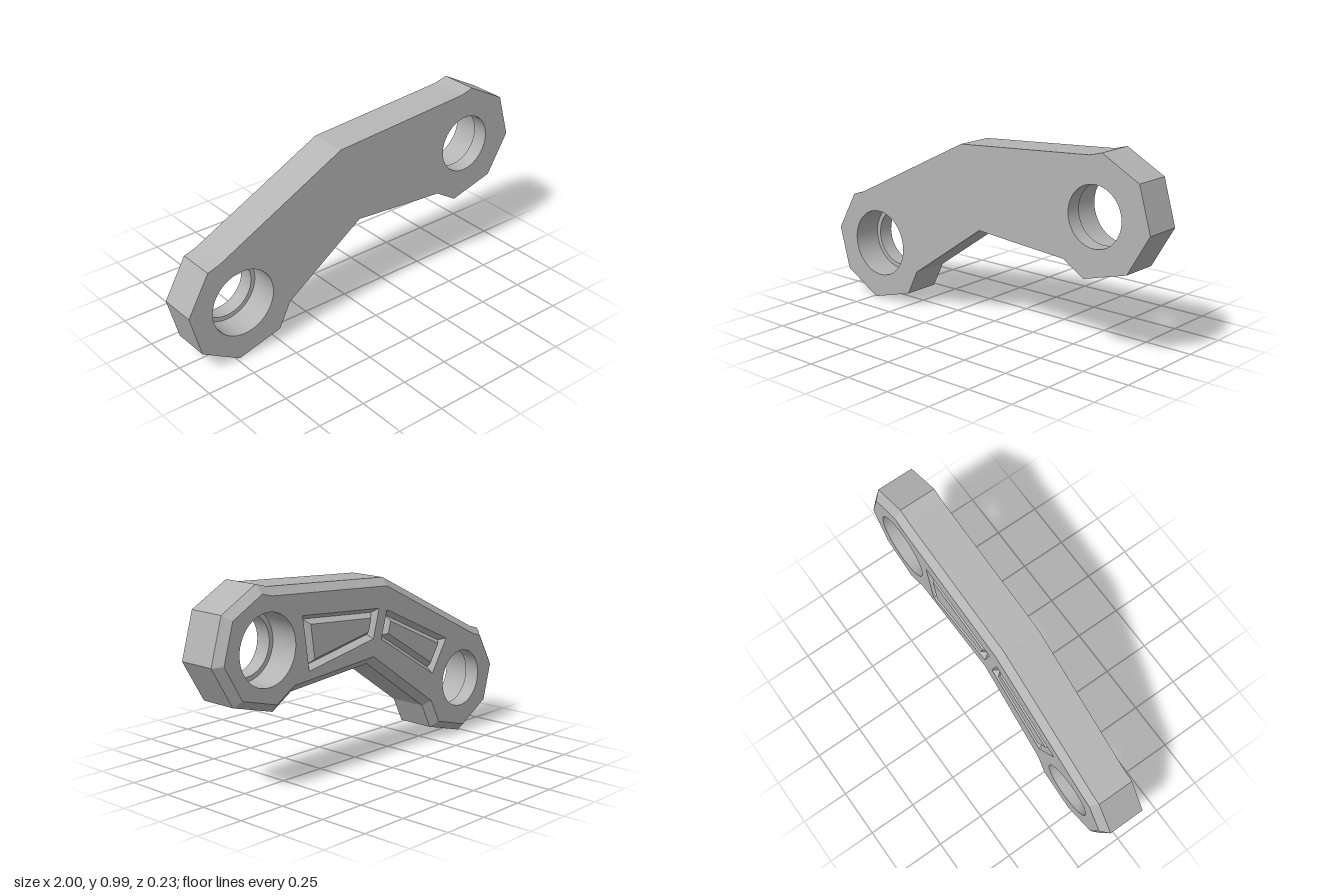
import * as THREE from 'three';
import { toCreasedNormals } from 'three/addons/utils/BufferGeometryUtils.js';

const FRONT = 0.116, BACK = -0.116, CHAMFER = 0.038;

// Counter-clockwise outline of the bent arm with its two faceted ends
const OUTLINE = [
  [-0.94, 0.12], [-0.735, 0.003], [-0.495, 0.07], [-0.43, 0.2], [0, 0.5], [0.52, 0.46],
  [0.64, 0.387], [0.88, 0.453], [1, 0.655], [0.935, 0.88], [0.73, 0.99], [0.66, 0.971],
  [-0.115, 0.915], [-0.82, 0.562], [-0.885, 0.542], [-1, 0.34],
];
const POCKETS = [
  [[0.476, 0.816], [-0.048, 0.774], [-0.008, 0.629], [0.436, 0.547]],
  [[-0.106, 0.759], [-0.573, 0.541], [-0.464, 0.372], [-0.066, 0.618]],
];
const BORE = 0.15, COUNTERBORE = 0.173;
const LOW = [-0.7, 0.305], HIGH = [0.695, 0.69];

const circle = ([x, y], r, n = 48) => Array.from({ length: n }, (_, i) => {
  const a = (i / n) * Math.PI * 2;
  return [x + r * Math.cos(a), y + r * Math.sin(a)];
});

// Mitred inward offset of a counter-clockwise loop
function inset(loop, d) {
  const n = loop.length;
  const normal = (a, b) => {
    const l = Math.hypot(b[0] - a[0], b[1] - a[1]);
    return [-(b[1] - a[1]) / l, (b[0] - a[0]) / l];
  };
  return loop.map((p, i) => {
    const u = normal(loop[(i + n - 1) % n], p), v = normal(p, loop[(i + 1) % n]);
    const k = d / (1 + u[0] * v[0] + u[1] * v[1]);
    return [p[0] + k * (u[0] + v[0]), p[1] + k * (u[1] + v[1])];
  });
}

// Strip between two matching loops; faces outward when zA < zB, inward when zA > zB
function wall(A, zA, B, zB) {
  const pos = [];
  A.forEach((a, i) => {
    const j = (i + 1) % A.length;
    const a0 = [...a, zA], a1 = [...A[j], zA], b0 = [...B[i], zB], b1 = [...B[j], zB];
    pos.push(...a0, ...a1, ...b1, ...a0, ...b1, ...b0);
  });
  const g = new THREE.BufferGeometry();
  g.setAttribute('position', new THREE.Float32BufferAttribute(pos, 3));
  return toCreasedNormals(g, 0.15);
}

// Flat face with holes, looking along +z or -z
function cap(loop, holes, z, facing) {
  const v = (l) => l.map(([x, y]) => new THREE.Vector2(x * facing, y));
  const shape = new THREE.Shape(v(loop));
  shape.holes = holes.map((h) => new THREE.Path(v(h)));
  const g = new THREE.ShapeGeometry(shape);
  if (facing < 0) g.rotateY(Math.PI);
  return g.translate(0, 0, z);
}

export function createModel() {
  const model = new THREE.Group();
  model.name = 'linkArm';
  const metal = new THREE.MeshStandardMaterial({ color: 0xb4b4b4 });
  metal.name = 'greyMetal';
  const part = (name, ...geometries) => {
    const group = new THREE.Group();
    group.name = name;
    geometries.forEach((g) => {
      const mesh = new THREE.Mesh(g, metal);
      mesh.name = name + 'Surface';
      group.add(mesh);
    });
    model.add(group);
  };

  const lowSmall = circle(LOW, BORE), lowBig = circle(LOW, COUNTERBORE);
  const highSmall = circle(HIGH, BORE), highBig = circle(HIGH, COUNTERBORE);
  const backLoop = inset(OUTLINE, CHAMFER);

  // Main plate with a chamfer around the back
  part('frontFace', cap(OUTLINE, [lowBig, highSmall], FRONT, 1));
  part('sideWall', wall(OUTLINE, BACK + CHAMFER, OUTLINE, FRONT));
  part('backChamfer', wall(backLoop, BACK, OUTLINE, BACK + CHAMFER));
  part('backFace', cap(backLoop, [lowSmall, highBig, ...POCKETS], BACK, -1));

  // Stepped bores: the lower one widens to the front, the upper one to the back
  const step = 0.035;
  part('lowerBore',
    wall(lowBig, FRONT, lowBig, -step),
    wall(lowBig, -step, lowSmall, -step),
    wall(lowSmall, -step, lowSmall, BACK));
  part('upperBore',
    wall(highSmall, FRONT, highSmall, step),
    wall(highSmall, step, highBig, step),
    wall(highBig, step, highBig, BACK));

  // Grooved panels on the back
  POCKETS.forEach((outer, i) => {
    const floor = BACK + 0.03, valley = inset(outer, 0.022), island = inset(outer, 0.044);
    part(i ? 'lowerPanel' : 'upperPanel',
      wall(valley, floor, outer, BACK),
      wall(island, BACK, valley, floor),
      cap(island, [], BACK, -1));
  });
  return model;
}
